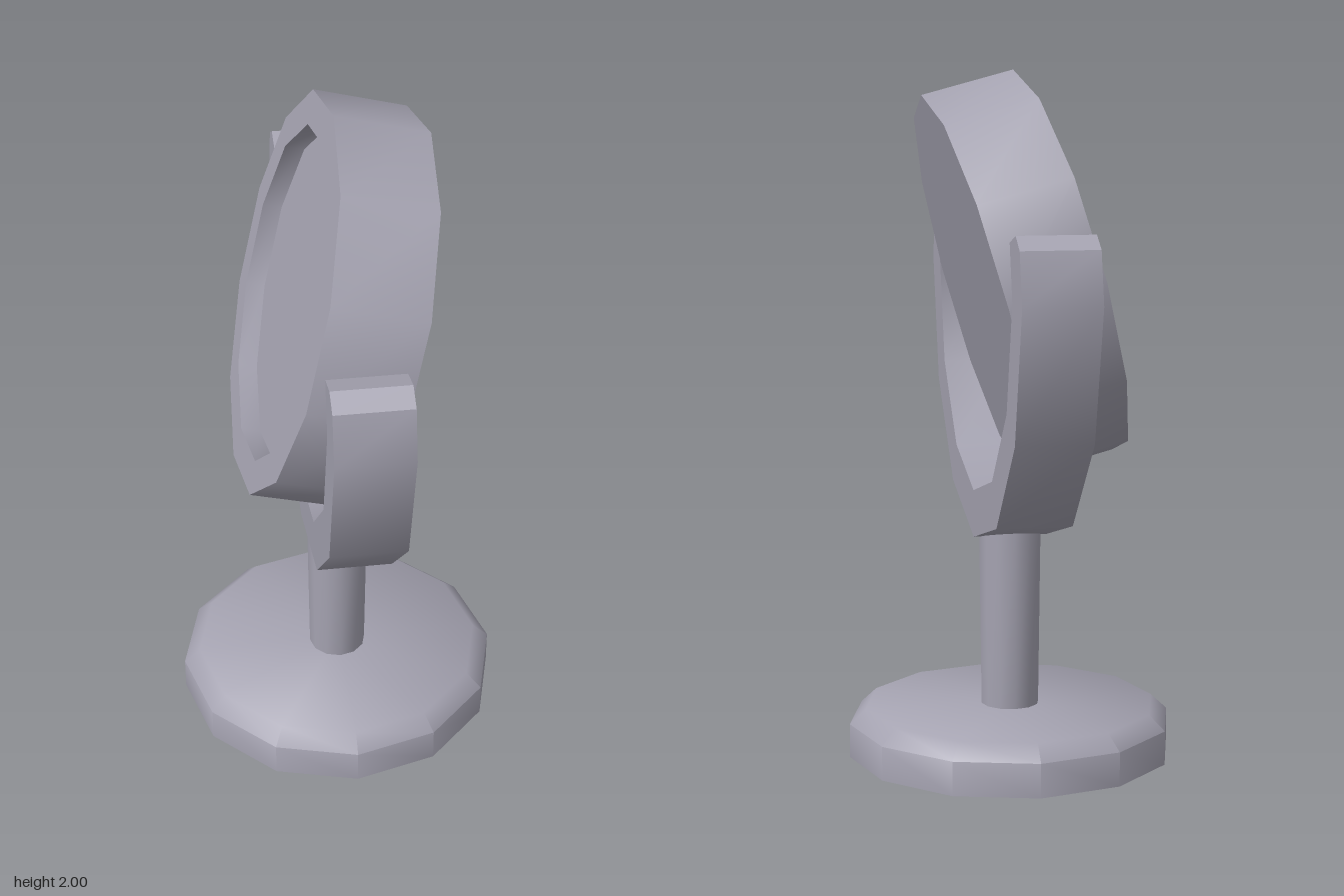
import * as THREE from 'three';
import { toCreasedNormals } from 'three/addons/utils/BufferGeometryUtils.js';

const PIVOT_Y = 1.405;

export function createModel() {
  const group = new THREE.Group();
  const grey = new THREE.MeshStandardMaterial({ color: 0xa5a3b1 });
  grey.name = 'paleGrey';

  const add = (name, geometry, crease = 0.7) => {
    const mesh = new THREE.Mesh(toCreasedNormals(geometry, crease), grey);
    mesh.name = name;
    group.add(mesh);
    return mesh;
  };
  const lathe = (points) =>
    new THREE.LatheGeometry(points.map(([r, y]) => new THREE.Vector2(r, y)), 12);

  // Round foot with a chamfered top edge
  add('base', lathe([[0, 0], [0.478, 0], [0.478, 0.1], [0.43, 0.145], [0, 0.145]]), 0.9);

  // Slightly flared post
  const stem = add('stem', new THREE.CylinderGeometry(0.092, 0.085, 0.57, 12));
  stem.position.y = 0.42;

  // Twelve-sided half ring with short rounded tips
  const arc = (r) => [0, 1, 2, 3, 4, 5, 6].map((i) => {
    const a = Math.PI + (i * Math.PI) / 6;
    return [r * Math.cos(a), r * Math.sin(a)];
  });
  const outline = [
    ...arc(0.757),
    [0.722, 0.145], [0.665, 0.18], [0.58, 0.155],
    ...arc(0.618).reverse(),
    [-0.58, 0.155], [-0.665, 0.18], [-0.722, 0.145],
  ];
  const yokeGeometry = new THREE.ExtrudeGeometry(
    new THREE.Shape(outline.map(([u, v]) => new THREE.Vector2(u, v))),
    { depth: 0.216, bevelEnabled: false },
  );
  yokeGeometry.translate(0, PIVOT_Y, -0.108).rotateY(Math.PI / 2);
  add('yoke', yokeGeometry);

  // Pivot pins between yoke and head
  for (const side of [-1, 1]) {
    const pin = add(side > 0 ? 'frontPin' : 'backPin',
      new THREE.CylinderGeometry(0.072, 0.072, 0.1, 12).rotateX(Math.PI / 2));
    pin.position.set(0, 1.333, side * 0.565);
  }

  // Tilted round head: flat on one side, recessed behind a rim on the other
  const head = add('head', lathe([
    [0, -0.137], [0.573, -0.137], [0.573, 0.137],
    [0.476, 0.137], [0.476, 0.08], [0, 0.08],
  ]));
  head.rotation.z = THREE.MathUtils.degToRad(75);
  head.position.set(-0.025, 1.413, 0);

  return group;
}
